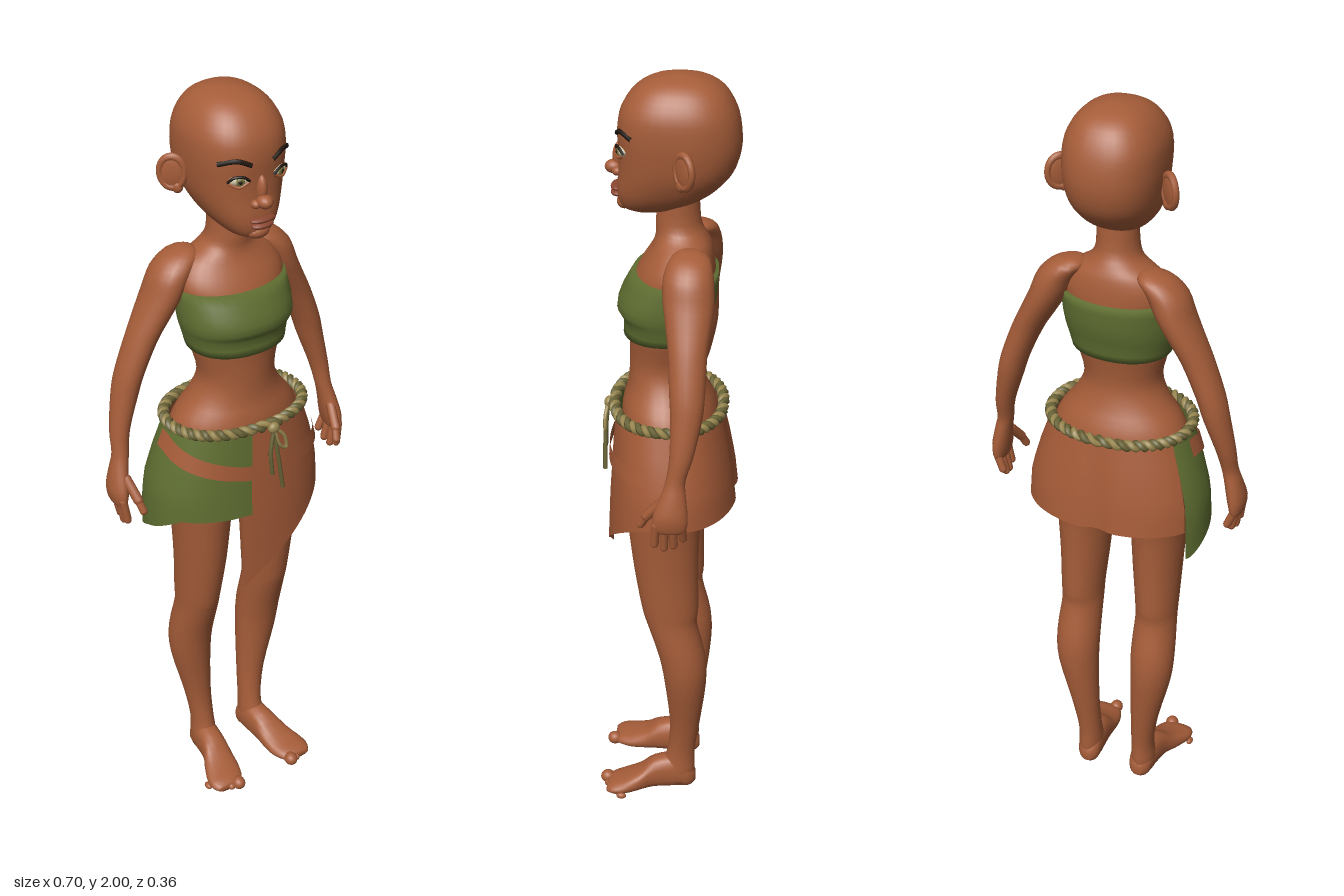
import * as THREE from 'three';

const mat = (name, color, side = THREE.FrontSide) => {
  const m = new THREE.MeshStandardMaterial({ color, side });
  m.name = name;
  return m;
};
const D = Math.PI / 180;
const V = (x, y, z) => new THREE.Vector3(x, y, z);

// smooth interpolation of a list of cross-sections [y, centreX, halfWidth, zFront, zBack]
function refine(keys, steps) {
  const out = [], n = keys.length;
  for (let i = 0; i < n - 1; i++) {
    const [a, b, c, d] = [-1, 0, 1, 2].map(o => keys[Math.min(n - 1, Math.max(0, i + o))]);
    for (let s = 0; s < steps; s++) {
      const t = s / steps;
      out.push(b.map((v, k) => v + 0.5 * t * (c[k] - a[k] + t * (2 * a[k] - 5 * v + 4 * c[k] - d[k] + t * (3 * (v - c[k]) + d[k] - a[k])))));
    }
  }
  out.push(keys[n - 1]);
  return out;
}

// point on a rounded cross-section
function ringPoint([y, x, rx, zf, zb], a, p = 2, grow = 0) {
  const c = Math.cos(a), s = Math.sin(a), e = 2 / p;
  return [x + Math.sign(c) * Math.abs(c) ** e * (rx + grow), y,
    (zf + zb) / 2 + Math.sign(s) * Math.abs(s) ** e * ((zf - zb) / 2 + grow)];
}

function meshData(pos, idx) {
  const g = new THREE.BufferGeometry();
  g.setAttribute('position', new THREE.Float32BufferAttribute(pos, 3));
  g.setIndex(idx);
  g.computeVertexNormals();
  return g;
}

// closed body through cross-sections, listed from top to bottom
function loft(keys, { n = 28, p = 2, steps = 3 } = {}) {
  const rows = refine(keys, steps), pos = [], idx = [];
  rows.forEach(r => { for (let j = 0; j < n; j++) pos.push(...ringPoint(r, j / n * Math.PI * 2, p)); });
  const last = (rows.length - 1) * n, top = rows.length * n;
  [rows[0], rows[rows.length - 1]].forEach(r => pos.push(r[1], r[0], (r[3] + r[4]) / 2));
  for (let j = 0; j < n; j++) {
    const k = (j + 1) % n;
    for (let i = 0; i < last; i += n) idx.push(i + j, i + k, i + n + j, i + k, i + n + k, i + n + j);
    idx.push(top, k, j, top + 1, last + j, last + k);
  }
  return meshData(pos, idx);
}

// hip shape that the cloth follows
const HIPS = [[1.16, 0, .172, .125, -.13], [1.05, 0, .21, .135, -.155], [.97, 0, .232, .14, -.17], [.9, 0, .236, .145, -.178], [.66, 0, .24, .155, -.178]];
function hipPoint(y, a, grow) {
  let i = 0;
  while (i < HIPS.length - 2 && HIPS[i + 1][0] > y) i++;
  const A = HIPS[i], B = HIPS[i + 1], t = (y - A[0]) / (B[0] - A[0]);
  const q = ringPoint(A.map((v, k) => v + (B[k] - v) * t), a, 2.2, grow);
  if (q[2] < 0) q[2] += .014 * Math.exp(-((q[0] / .03) ** 2)) * (1.16 - y) / .26;
  return q;
}

// cloth sheet around the hips between two angles, with top and hem as functions of the angle
function cloth(a0, a1, top, hem, grow, nu = 48, nv = 8) {
  const pos = [], idx = [];
  for (let i = 0; i <= nu; i++) {
    const a = a0 + (a1 - a0) * i / nu;
    for (let j = 0; j <= nv; j++) pos.push(...hipPoint(top(a) + (hem(a) - top(a)) * j / nv, a * D, grow));
  }
  for (let i = 0; i < nu; i++) for (let j = 0; j < nv; j++) {
    const q = i * (nv + 1) + j, r = q + nv + 1;
    idx.push(q, r, q + 1, r, r + 1, q + 1);
  }
  return meshData(pos, idx);
}

export function createModel() {
  const root = new THREE.Group();
  const skin = mat('skin', 0xa65d39), lip = mat('lips', 0x8a4630), dark = mat('dark hair', 0x21170f);
  const white = mat('eye white', 0xc9c2a4), iris = mat('iris', 0x77733a);
  const green = mat('green cloth', 0x5f6e31, THREE.DoubleSide);
  const leather = mat('skirt cloth', 0xa55b38, THREE.DoubleSide);
  const ropeA = mat('light rope', 0x9a8850), ropeB = mat('dark rope', 0x6a6437);

  const add = (name, geo, m, parent = root) => {
    const o = new THREE.Mesh(geo, m);
    o.name = name;
    parent.add(o);
    return o;
  };
  const blob = (name, m, x, y, z, rx, ry, rz, parent = root) => {
    const o = add(name, new THREE.SphereGeometry(1, 18, 12), m, parent);
    o.position.set(x, y, z);
    o.scale.set(rx, ry, rz);
    return o;
  };
  const tube = (name, m, pts, r, seg = 16, parent = root) =>
    add(name, new THREE.TubeGeometry(new THREE.CatmullRomCurve3(pts), seg, r, 8), m, parent);
  const finger = (name, a, b, r) => {
    const o = add(name, new THREE.CapsuleGeometry(r, a.distanceTo(b), 4, 8), skin);
    o.position.copy(a).lerp(b, .5);
    o.quaternion.setFromUnitVectors(V(0, 1, 0), b.clone().sub(a).normalize());
  };

  // head and face
  add('head', loft([[2, 0, .015, -.015, -.045], [1.99, 0, .055, .035, -.095], [1.965, 0, .09, .078, -.135],
    [1.92, 0, .115, .11, -.162], [1.87, 0, .12, .12, -.174], [1.82, 0, .117, .118, -.174], [1.77, 0, .108, .118, -.158],
    [1.73, 0, .092, .122, -.125], [1.7, 0, .074, .121, -.085], [1.675, 0, .05, .112, -.03], [1.662, 0, .025, .085, .02]],
  { n: 36, p: 2.35 }), skin);
  blob('noseBridge', skin, 0, 1.795, .115, .013, .036, .018);
  blob('noseTip', skin, 0, 1.768, .13, .019, .017, .022);
  blob('upperLip', lip, 0, 1.721, .122, .034, .008, .016);
  blob('lowerLip', lip, 0, 1.706, .121, .03, .009, .017);
  blob('chin', skin, 0, 1.683, .104, .03, .018, .02);

  // torso and bandeau
  add('torso', loft([[1.72, 0, .052, .02, -.075], [1.64, 0, .053, .03, -.08], [1.605, 0, .07, .03, -.095],
    [1.575, 0, .115, .04, -.108], [1.53, 0, .142, .068, -.115], [1.48, 0, .138, .09, -.115], [1.42, 0, .132, .105, -.105],
    [1.35, 0, .119, .096, -.09], [1.27, 0, .1, .096, -.08], [1.21, 0, .122, .1, -.095], [1.15, 0, .166, .115, -.122],
    [1.05, 0, .195, .115, -.14], [.95, 0, .19, .095, -.14], [.88, 0, .12, .05, -.09]], { n: 32 }), skin);
  add('bandeau', loft([[1.512, 0, .144, .086, -.124], [1.46, 0, .147, .115, -.122], [1.42, 0, .145, .125, -.115],
    [1.393, 0, .137, .109, -.107], [1.352, 0, .127, .11, -.1]], { n: 32, p: 2.2, steps: 2 }), green);

  for (const s of [1, -1]) {
    const side = s > 0 ? 'left' : 'right';
    const flip = keys => keys.map(k => [k[0], k[1] * s, k[2], k[3], k[4]]);

    // eye, lid and brow
    const eye = new THREE.Group();
    eye.name = side + 'Eye';
    eye.position.set(.056 * s, 1.825, .105);
    eye.rotation.y = .4 * s;
    root.add(eye);
    blob('eyeball', white, 0, 0, 0, .024, .012, .01, eye);
    blob('iris', iris, -.003 * s, 0, .007, .011, .0105, .005, eye);
    blob('pupil', dark, -.003 * s, 0, .0105, .005, .005, .003, eye);
    tube('upperLid', dark, [V(-.026, -.002, .003), V(-.012, .011, .009), V(.012, .011, .009), V(.026, -.002, .003)], .0035, 14, eye);
    tube('lowerLid', skin, [V(-.025, -.004, .003), V(0, -.014, .008), V(.025, -.004, .003)], .004, 14, eye);
    tube(side + 'Brow', dark, [V(.028 * s, 1.861, .118), V(.06 * s, 1.874, .107), V(.095 * s, 1.864, .077)], .006);
    blob(side + 'Nostril', skin, .018 * s, 1.762, .119, .012, .011, .014);

    // ear flaring out and back
    const ear = new THREE.Group();
    ear.name = side + 'Ear';
    ear.position.set(.139 * s, 1.808, -.048);
    ear.rotation.set(0, -.85 * s, 0);
    root.add(ear);
    blob('earShell', skin, 0, 0, 0, .01, .044, .032, ear);
    const rim = add('earRim', new THREE.TorusGeometry(.03, .008, 8, 24).rotateY(Math.PI / 2), skin, ear);
    rim.scale.set(1.1, 1.28, 1);
    blob('earLobe', skin, 0, -.037, .012, .01, .016, .014, ear);

    // arm and hand
    add(side + 'Arm', loft(flip([[1.6, .1, .015, -.04, -.08], [1.585, .112, .045, -.015, -.108], [1.55, .142, .05, 0, -.12],
      [1.5, .164, .048, 0, -.124], [1.45, .19, .045, -.008, -.12], [1.385, .225, .04, -.018, -.112], [1.3, .26, .036, -.024, -.11],
      [1.24, .277, .033, -.028, -.105], [1.15, .3, .025, -.028, -.086], [1.09, .308, .021, -.02, -.068], [1.05, .317, .022, -.008, -.07],
      [1, .326, .023, .01, -.075], [.965, .328, .016, .01, -.072], [.955, .328, .01, 0, -.06]]), { n: 20 }), skin);
    for (let i = 0; i < 4; i++) {
      const z = .002 - .021 * i, drop = [.012, 0, .006, .025][i];
      finger(side + 'Finger', V(.33 * s, .975, z), V((.322 - .003 * i) * s, .908 + drop, z * 1.1 + .004), .0105);
    }
    finger(side + 'Thumb', V(.312 * s, 1.03, -.01), V(.302 * s, .985, .028), .0125);
    finger(side + 'ThumbTip', V(.302 * s, .985, .028), V(.296 * s, .958, .042), .0105);

    // leg, foot and toes
    add(side + 'Leg', loft(flip([[.98, .1, .09, .095, -.13], [.9, .103, .08, .1, -.11], [.85, .104, .073, .095, -.092],
      [.72, .104, .064, .08, -.087], [.6, .107, .056, .06, -.088], [.55, .107, .055, .046, -.085], [.45, .109, .059, .015, -.108],
      [.36, .106, .055, 0, -.11], [.22, .089, .038, -.012, -.093], [.12, .08, .031, -.005, -.08], [.06, .08, .033, .012, -.08],
      [.02, .08, .03, .01, -.076]]), { n: 24 }), skin);
    const foot = loft(flip([[.158, .113, .035, -.006, -.024], [.14, .112, .047, -.002, -.034], [.11, .106, .052, 0, -.042],
      [.07, .096, .046, 0, -.06], [.03, .086, .037, 0, -.09], [-.03, .08, .034, 0, -.1], [-.065, .078, .029, -.002, -.075],
      [-.082, .077, .012, -.015, -.045]]), { n: 20, p: 2.4 });
    add(side + 'Foot', foot.rotateX(Math.PI / 2), skin);
    for (let i = 0; i < 5; i++) {
      const r = i ? .0125 - .001 * i : .018;
      blob(side + 'Toe', skin, (.088 + .017 * i + (i ? .004 : 0)) * s, r, .16 - .011 * i, r, r, r * (i ? 1.6 : 1.1));
    }
  }

  // wrapped skirt: long pointed front, level back
  const clamp = t => Math.min(1, Math.max(0, t));
  add('skirt', cloth(-152, 104, () => 1.145, a => .9 - .21 * clamp((a - 10) / 94) ** 1.6, .003, 72), leather);
  add('greenPanel', cloth(98, 208, () => 1.14, a => .91 - .09 * clamp((a - 148) / 55), .006), green);
  add('hipSash', cloth(15, 188, a => 1.055 + .075 * clamp((a - 100) / 80), a => 1.015 + .07 * clamp((a - 100) / 80), .012, 48, 2), leather);

  // twisted rope belt with hanging ends
  [ropeA, ropeB].forEach((m, k) => {
    const pts = [];
    for (let i = 0; i < 200; i++) {
      const a = i / 200 * Math.PI * 2, w = a * 25 + k * Math.PI;
      const q = hipPoint(1.15, a, .008 + .007 * Math.cos(w));
      pts.push(V(q[0], q[1] + .007 * Math.sin(w) + .005 * Math.sin(a), q[2]));
    }
    add('ropeBelt', new THREE.TubeGeometry(new THREE.CatmullRomCurve3(pts, true), 400, .0085, 6, true), m);
  });
  blob('ropeKnot', ropeA, .022, 1.15, .148, .016, .015, .012);
  tube('ropeEnd', ropeB, [V(.02, 1.15, .15), V(.03, 1.07, .157), V(.045, .97, .158)], .0055);
  tube('ropeEnd', ropeB, [V(.022, 1.15, .15), V(.008, 1.09, .157), V(.012, 1.02, .159)], .0055);
  tube('ropeLoop', ropeA, [V(.025, 1.15, .15), V(.05, 1.12, .155), V(.055, 1.085, .155), V(.035, 1.1, .157), V(.022, 1.145, .152)], .005);
  return root;
}
